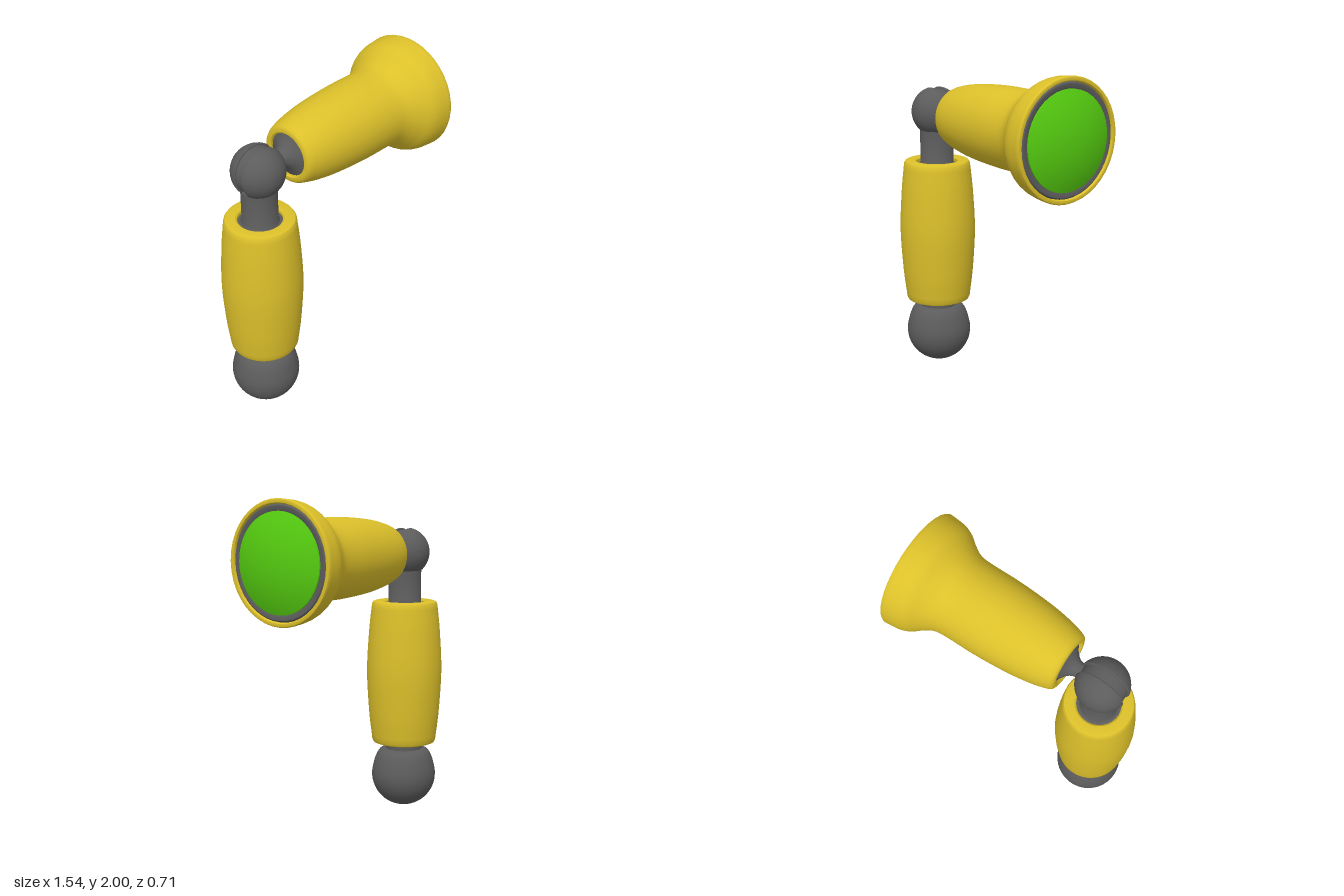
import * as THREE from 'three';
import { toCreasedNormals } from 'three/addons/utils/BufferGeometryUtils.js';

const yellow = new THREE.MeshStandardMaterial({ color: 0xdcc02a });
const grey = new THREE.MeshStandardMaterial({ color: 0x5c5c5c });
const green = new THREE.MeshStandardMaterial({ color: 0x55cc10 });

const ARM_X = -0.53;
const JOINT_Y = 1.642;

// Turned part from [radius, height] pairs listed bottom to top along the outside
function turned(name, profile, material, crease = 0.6) {
  const points = profile.map(([r, y]) => new THREE.Vector2(r, y));
  const geometry = toCreasedNormals(new THREE.LatheGeometry(points, 40), crease);
  const mesh = new THREE.Mesh(geometry, material);
  mesh.name = name;
  return mesh;
}

// Points on a circle about the axis, between two angles measured from the equator
function arc(radius, centreY, from, to, steps) {
  return Array.from({ length: steps + 1 }, (_, i) => {
    const a = from + ((to - from) * i) / steps;
    return [Math.max(0, radius * Math.cos(a)), centreY + radius * Math.sin(a)];
  });
}

// Smooth curve through a few [radius, height] points
function smooth(points, count) {
  const curve = new THREE.SplineCurve(points.map(([r, y]) => new THREE.Vector2(r, y)));
  return curve.getPoints(count).map((p) => [p.x, p.y]);
}

function createArm() {
  const arm = new THREE.Group();
  arm.name = 'arm';
  arm.position.x = ARM_X;

  // Ball foot with its short neck
  arm.add(turned('ballFoot', [
    ...arc(0.205, 0.205, -Math.PI / 2, 0.25, 20),
    [0.188, 0.3], [0.172, 0.34], [0.155, 0.364], [0.135, 0.373], [0.115, 0.375],
    [0.115, 0.46], [0, 0.46],
  ], grey));

  // Barrel sleeve with an opening at each end
  arm.add(turned('sleeve', [
    [0, 0.45], [0.135, 0.45], [0.135, 0.425], [0.145, 0.417], [0.185, 0.417], [0.197, 0.422], [0.204, 0.436],
    ...smooth([[0.208, 0.47], [0.225, 0.62], [0.239, 0.88], [0.227, 1.13], [0.211, 1.29]], 20),
    [0.207, 1.318], [0.2, 1.329], [0.188, 1.333], [0.14, 1.333], [0.13, 1.325], [0.13, 1.29], [0, 1.29],
  ], yellow));

  // Collar inside the sleeve and neck up to the joint
  arm.add(turned('neck', [
    [0.13, 1.305], [0.112, 1.31], [0.104, 1.325], [0.104, 1.53], [0, 1.53],
  ], grey));

  // Two cheeks of the slotted joint ball
  for (const side of [1, -1]) {
    const cheek = turned('jointCheek', [
      [0, 0.03], [0.146, 0.03], [0.151, 0.034],
      ...arc(0.155, 0, 0.25, Math.PI / 2, 14),
    ], grey);
    cheek.position.y = JOINT_Y;
    cheek.rotation.x = (side * Math.PI) / 2;
    arm.add(cheek);
  }

  // Tongue held between the cheeks
  const tongue = new THREE.Mesh(new THREE.CylinderGeometry(0.14, 0.14, 0.058, 40), grey);
  tongue.name = 'jointTongue';
  tongue.position.y = JOINT_Y;
  tongue.rotation.x = Math.PI / 2;
  arm.add(tongue);
  return arm;
}

function createHead() {
  // Turned along y, then laid along +x
  const head = new THREE.Group();
  head.name = 'head';
  head.position.y = JOINT_Y;
  head.rotation.z = -Math.PI / 2;

  // Flared stem leaving the tongue
  head.add(turned('stem', [
    [0, -0.42],
    ...smooth([[0.045, -0.4], [0.045, -0.375], [0.058, -0.345], [0.09, -0.315], [0.135, -0.29]], 12),
  ], grey));

  // Housing with a flared bell
  head.add(turned('housing', [
    [0, -0.28], [0.13, -0.28], [0.13, -0.305], [0.137, -0.312], [0.155, -0.312], [0.168, -0.306], [0.178, -0.29],
    ...smooth([
      [0.185, -0.27], [0.203, -0.2], [0.222, -0.08], [0.234, 0.06], [0.24, 0.2], [0.241, 0.38],
      [0.255, 0.45], [0.29, 0.51], [0.327, 0.56], [0.346, 0.61], [0.354, 0.68],
    ], 44),
    [0.356, 0.7], [0.352, 0.708], [0.343, 0.711], [0.332, 0.709], [0.327, 0.7], [0.327, 0.67], [0, 0.67],
  ], yellow));

  // Grey ring around the lens
  head.add(turned('lensRing', [
    [0.327, 0.68], [0.325, 0.698], [0.318, 0.704], [0.295, 0.704], [0.28, 0.695],
  ], grey));

  // Shallow domed lens
  const radius = 0.7;
  const edge = Math.acos(0.287 / radius);
  head.add(turned('lens', [
    [0.287, 0.68],
    ...arc(radius, 0.77 - radius, edge, Math.PI / 2, 12),
  ], green));
  return head;
}

export function createModel() {
  const model = new THREE.Group();
  model.name = 'jointedLamp';
  model.add(createArm(), createHead());
  return model;
}
